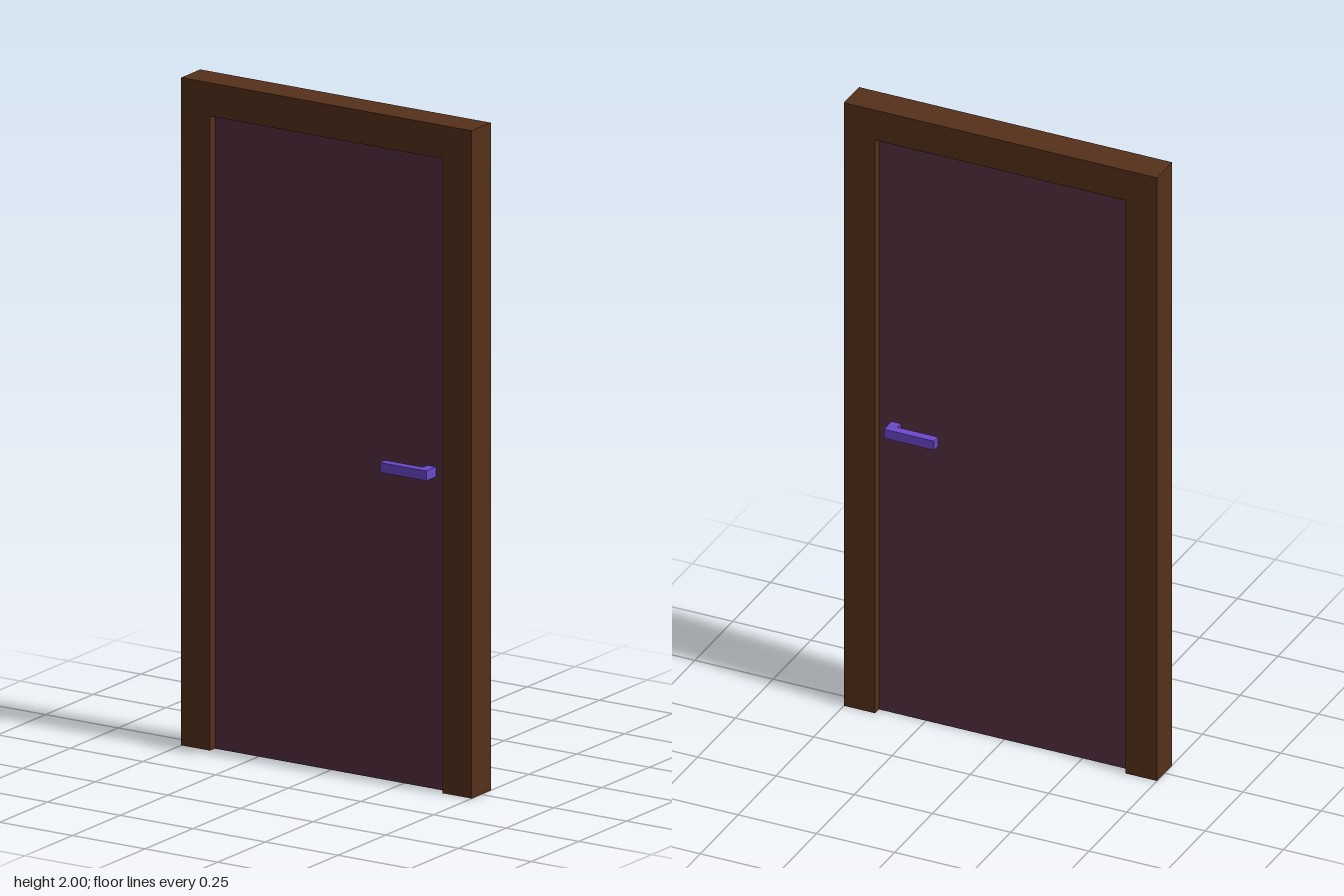
import * as THREE from 'three';

const material = (color) => new THREE.MeshStandardMaterial({ color });

// Extrude an outline of [x, y] corners, centred on its depth
function slab(name, points, depth, mat) {
  const shape = new THREE.Shape(points.map(([x, y]) => new THREE.Vector2(x, y)));
  const geometry = new THREE.ExtrudeGeometry(shape, { depth, bevelEnabled: false });
  geometry.translate(0, 0, -depth / 2);
  const mesh = new THREE.Mesh(geometry, mat);
  mesh.name = name;
  return mesh;
}

export function createModel() {
  const door = new THREE.Group();
  door.name = 'door';

  // Frame: two jambs and a lintel in one piece, open at the floor
  door.add(slab('frame', [
    [-0.5, 0], [-0.4, 0], [-0.4, 1.9], [0.4, 1.9],
    [0.4, 0], [0.5, 0], [0.5, 2], [-0.5, 2],
  ], 0.1, material(0x55301a)));

  // Door leaf, recessed equally on both faces
  const leaf = new THREE.Mesh(new THREE.BoxGeometry(0.8, 1.9, 0.05), material(0x563040));
  leaf.name = 'doorLeaf';
  leaf.position.y = 0.95;
  door.add(leaf);

  // L-shaped lever handles: outline in x and z, one on each face
  const handleMaterial = material(0x6c48cc);
  for (const side of [1, -1]) {
    const outline = [
      [0.33, 0.025], [0.36, 0.025], [0.36, 0.075],
      [0.2, 0.075], [0.2, 0.048], [0.33, 0.048],
    ].map(([x, z]) => [x, -side * z]);
    const handle = slab(side > 0 ? 'frontHandle' : 'backHandle', outline, 0.03, handleMaterial);
    handle.rotation.x = -Math.PI / 2;
    handle.position.y = 0.95;
    door.add(handle);
  }

  return door;
}
